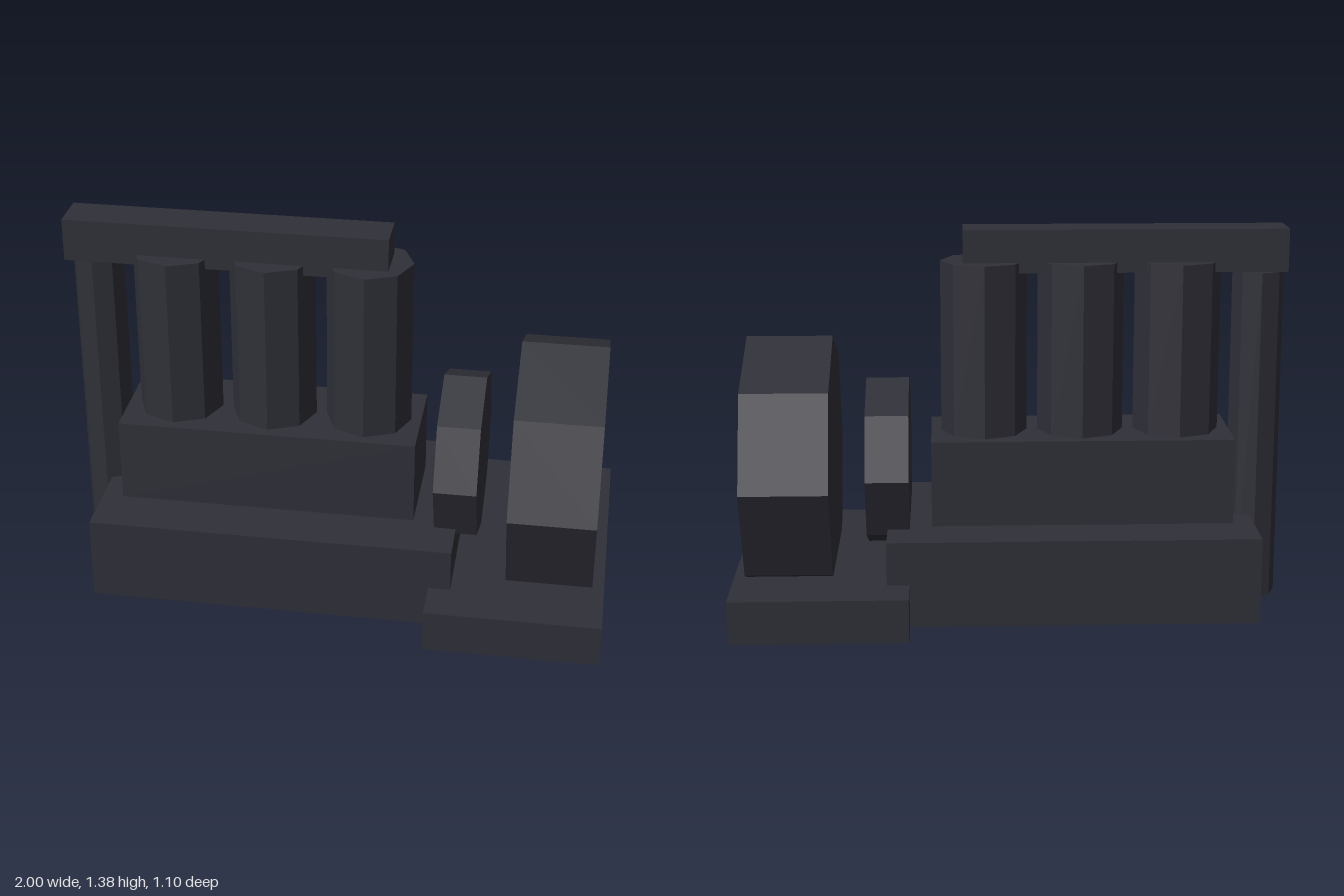
import * as THREE from 'three';

export function createModel() {
  const model = new THREE.Group();
  model.name = 'engine';
  const darkSteel = new THREE.MeshStandardMaterial({ color: 0x2f2f38, flatShading: true });
  darkSteel.name = 'darkSteel';

  const add = (name, geometry, x, y, z) => {
    const mesh = new THREE.Mesh(geometry, darkSteel);
    mesh.name = name;
    mesh.position.set(x, y, z);
    model.add(mesh);
    return mesh;
  };
  // Box from its x range, y range and depth, centred on z = 0
  const block = (name, x0, x1, y0, y1, depth) =>
    add(name, new THREE.BoxGeometry(x1 - x0, y1 - y0, depth), (x0 + x1) / 2, (y0 + y1) / 2, 0);
  // Upright eight-sided column
  const column = (name, x, z, radius, y0, y1) =>
    add(name, new THREE.CylinderGeometry(radius, radius, y1 - y0, 8), x, (y0 + y1) / 2, z);
  // Eight-sided wheel on the x axis, one corner pointing up
  const wheel = (name, x0, x1, radius) => {
    const geometry = new THREE.CylinderGeometry(radius, radius, x1 - x0, 8).rotateZ(Math.PI / 2);
    return add(name, geometry, (x0 + x1) / 2, 0.512, 0);
  };

  // Stepped engine block and generator footing
  block('engineBase', -0.883, 0.45, 0, 0.314, 0.784);
  block('crankcase', -0.806, 0.29, 0.314, 0.628, 0.392);
  block('generatorBase', 0.37, 1, 0, 0.157, 1.098);

  // Row of cylinders
  for (const x of [-0.61, -0.257, 0.096]) column('cylinder', x, 0, 0.157, 0.628, 1.257);

  // Exhaust manifold and its down pipe
  block('exhaustManifold', -1, 0.171, 1.22, 1.376, 0.156);
  column('exhaustPipe', -0.9, -0.018, 0.094, 0, 1.22);

  // Flywheel and generator drum
  wheel('flywheel', 0.37, 0.526, 0.313);
  wheel('generatorDrum', 0.645, 0.957, 0.47);

  return model;
}
